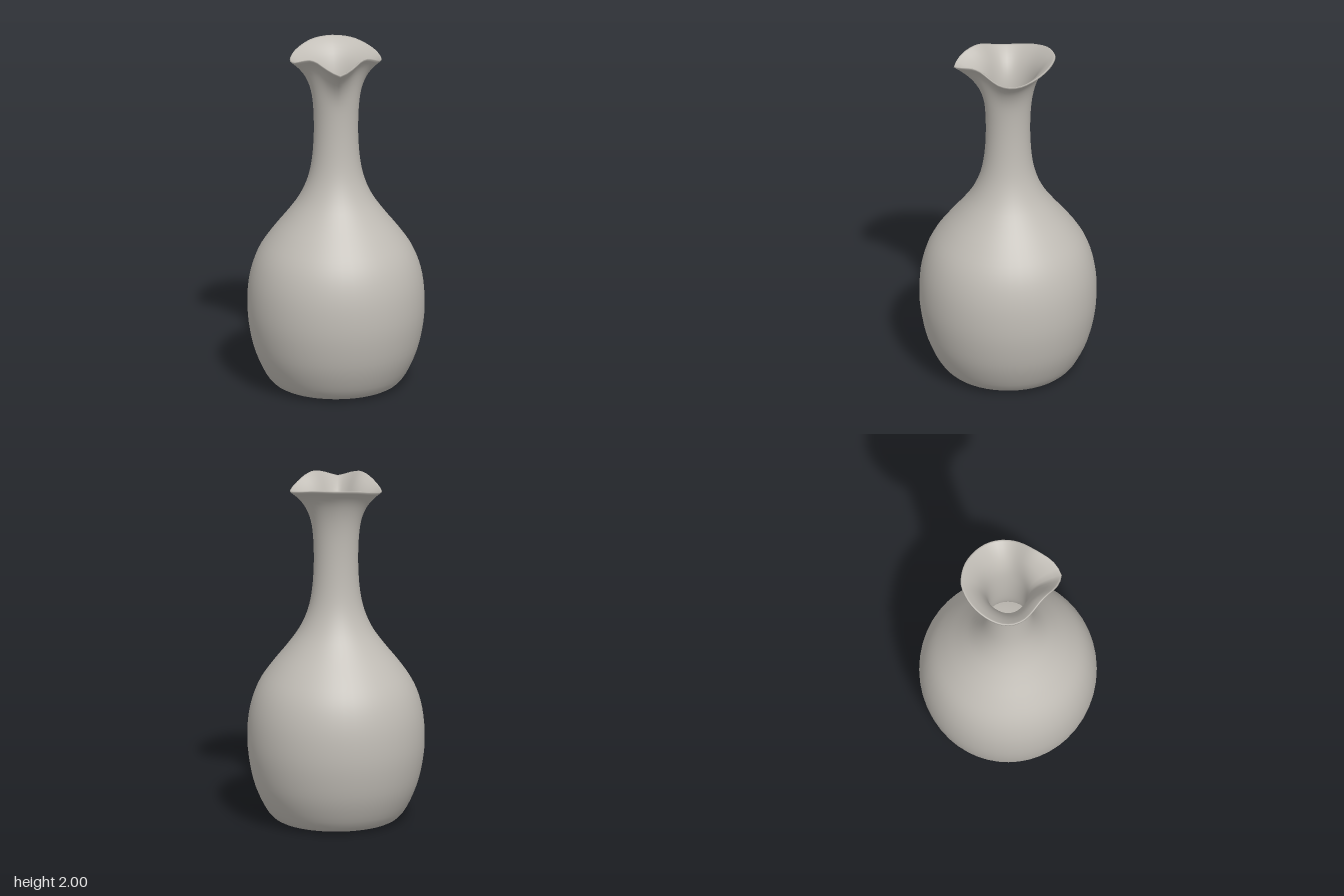
import * as THREE from 'three';
import { mergeVertices } from 'three/addons/utils/BufferGeometryUtils.js';

const vectors = (pairs) => pairs.map(([x, y]) => new THREE.Vector2(x, y));

// Smooth function of the angle from the front (0) to the back (PI), mirrored left and right
function aroundRim(values) {
  const curve = new THREE.SplineCurve(values.map((v, i) => new THREE.Vector2(i, v)));
  return (angle) => curve.getPoint(angle / Math.PI).y;
}

// Rim radius and height every 15 degrees: a pinched spout in front, low sides, high back
const rimRadius = aroundRim([0.31, 0.285, 0.25, 0.235, 0.24, 0.253, 0.262, 0.265, 0.263, 0.262, 0.265, 0.268, 0.272]);
const rimHeight = aroundRim([1.943, 1.972, 1.995, 1.995, 1.975, 1.95, 1.94, 1.945, 1.96, 1.975, 1.99, 1.998, 2.0]);
const RIM_R = 0.262, RIM_Y = 1.97;

// Bend the round mouth into the wavy, spouted lip
function shapeLip(geometry) {
  const p = geometry.attributes.position;
  for (let i = 0; i < p.count; i++) {
    const x = p.getX(i), y = p.getY(i), z = p.getZ(i);
    const t = THREE.MathUtils.smoothstep(y, 1.68, RIM_Y);
    if (t === 0) continue;
    const angle = Math.min(Math.PI, Math.atan2(Math.abs(x), z));
    const s = 1 + t * (rimRadius(angle) / RIM_R - 1);
    p.setXYZ(i, x * s, y + t * (rimHeight(angle) - RIM_Y), z * s);
  }
}

function lathe(points) {
  let geometry = new THREE.LatheGeometry(points, 48);
  shapeLip(geometry);
  // Weld the seam so that shading runs smoothly all round
  geometry.deleteAttribute('uv');
  geometry.deleteAttribute('normal');
  geometry = mergeVertices(geometry, 1e-5);
  geometry.computeVertexNormals();
  return geometry;
}

export function createModel() {
  const clay = new THREE.MeshStandardMaterial({ color: 0xc0bcb5 });
  clay.name = 'warm grey clay';

  const outer = new THREE.SplineCurve(vectors([
    [0.3, 0], [0.355, 0.02], [0.405, 0.08], [0.46, 0.2], [0.492, 0.33], [0.506, 0.46],
    [0.5, 0.6], [0.474, 0.72], [0.43, 0.82], [0.36, 0.92], [0.28, 1.02], [0.21, 1.12],
    [0.162, 1.23], [0.137, 1.35], [0.127, 1.5], [0.13, 1.65], [0.145, 1.77],
    [0.175, 1.86], [0.215, 1.92], [RIM_R, 1.963],
  ])).getPoints(57);
  const inner = new THREE.SplineCurve(vectors([
    [0.25, 1.966], [0.205, 1.93], [0.16, 1.87], [0.128, 1.78], [0.111, 1.65], [0.107, 1.5],
    [0.116, 1.35], [0.14, 1.23], [0.187, 1.12], [0.255, 1.02], [0.335, 0.92], [0.405, 0.82],
    [0.45, 0.72], [0.476, 0.6], [0.482, 0.46], [0.468, 0.33], [0.436, 0.2], [0.385, 0.09], [0.3, 0.03],
  ])).getPoints(54);

  const group = new THREE.Group();
  const add = (name, geometry) => {
    const mesh = new THREE.Mesh(geometry, clay);
    mesh.name = name;
    group.add(mesh);
  };

  // Thin wall: outside, rounded lip and hollow inside in one profile
  add('body', lathe([...outer, new THREE.Vector2(0.258, RIM_Y), ...inner]));
  // Flat underside and inner floor
  add('base', lathe(vectors([[0, 0], [0.15, 0], [0.3, 0]])));
  add('innerFloor', lathe(vectors([[0.3, 0.03], [0.15, 0.03], [0, 0.03]])));
  return group;
}
